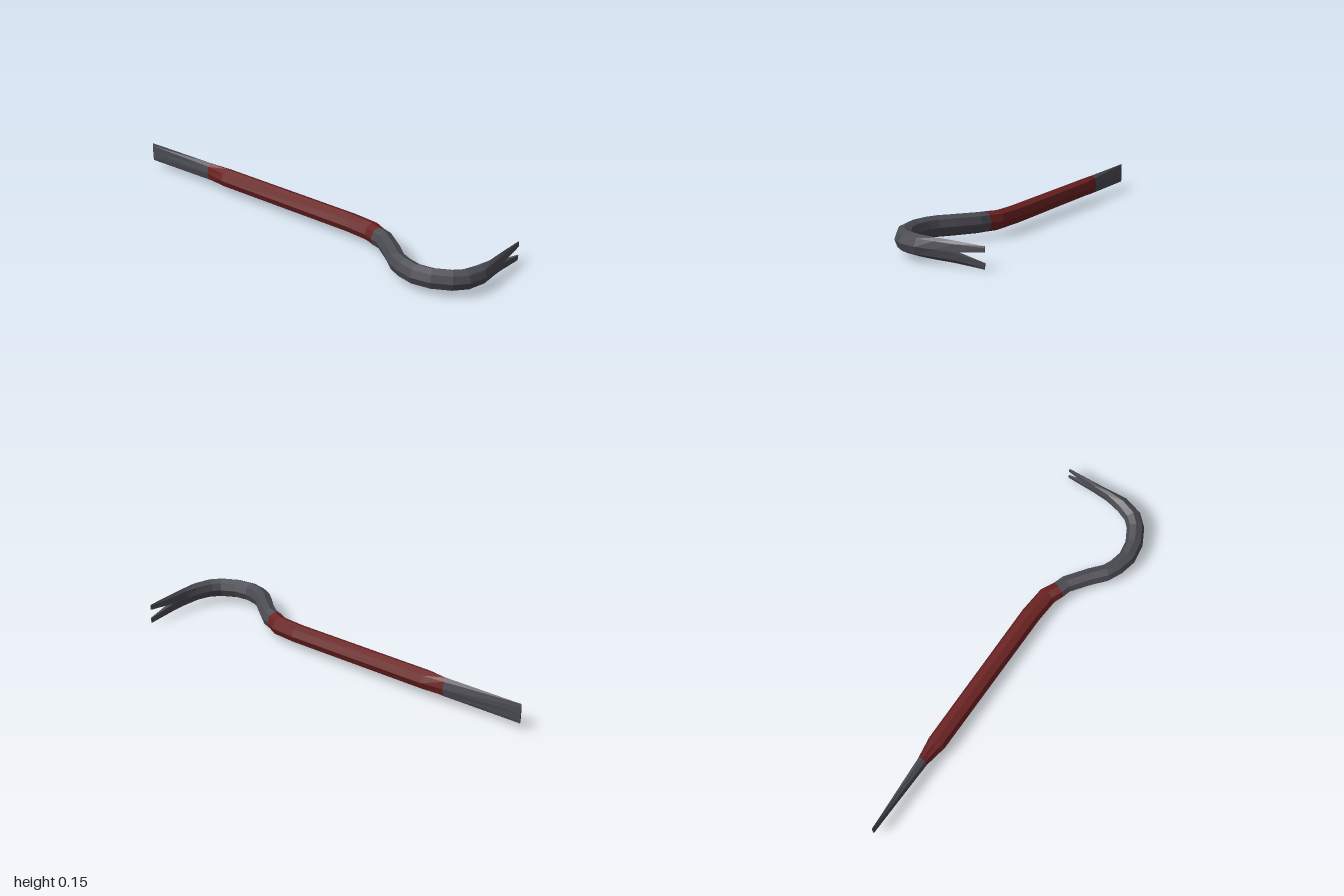
import * as THREE from 'three';

// Stations along the bar: [x, z, centre height, half width, half height]
const chiselEnd = [-0.996, -0.88, 0.092, 0.004, 0.057];
const stations = [
  chiselEnd,
  [-0.648, -0.569, 0.09, 0.031, 0.057],
  [-0.553, -0.478, 0.09, 0.053, 0.056],
  [0.123, 0.142, 0.084, 0.056, 0.055],
  [0.227, 0.254, 0.083, 0.055, 0.056],
  [0.254, 0.32, 0.085, 0.05, 0.057],
  [0.283, 0.372, 0.087, 0.05, 0.058],
  [0.31, 0.515, 0.088, 0.05, 0.059],
  [0.32, 0.607, 0.088, 0.05, 0.059],
  [0.348, 0.674, 0.088, 0.05, 0.059],
  [0.398, 0.746, 0.087, 0.051, 0.059],
  [0.479, 0.8, 0.087, 0.051, 0.059],
  [0.578, 0.826, 0.086, 0.051, 0.059],
  [0.652, 0.82, 0.085, 0.051, 0.058],
  [0.735, 0.774, 0.083, 0.045, 0.057],
  [0.807, 0.706, 0.078, 0.024, 0.057],
  [0.878, 0.627, 0.073, 0.016, 0.057],
];
const clawTip = [0.994, 0.5];

// Cross-section from octagon corners first..last, square to the path
function ring([x, z, y, w, h], tx, tz, first, last) {
  const points = [];
  for (let k = first; k <= last; k++) {
    const a = (k * Math.PI) / 4;
    const c = Math.cos(a) * w;
    points.push(new THREE.Vector3(x - tz * c, y + Math.sin(a) * h, z + tx * c));
  }
  return points;
}

// Skin closed rings with flat faces, with optional end caps
function loft(rings, capStart, capEnd) {
  const n = rings[0].length;
  const verts = [];
  for (let i = 0; i < rings.length - 1; i++) {
    for (let j = 0; j < n; j++) {
      const k = (j + 1) % n;
      const a = rings[i][j], b = rings[i + 1][j], c = rings[i + 1][k], d = rings[i][k];
      verts.push(a, b, c, a, c, d);
    }
  }
  const s = rings[0], e = rings[rings.length - 1];
  for (let j = 1; j < n - 1; j++) {
    if (capStart) verts.push(s[0], s[j], s[j + 1]);
    if (capEnd) verts.push(e[0], e[j + 1], e[j]);
  }
  const geometry = new THREE.BufferGeometry().setFromPoints(verts);
  geometry.computeVertexNormals();
  return geometry;
}

export function createModel() {
  const steel = new THREE.MeshStandardMaterial({ color: 0x4a4a52 });
  steel.name = 'dark steel';
  const paint = new THREE.MeshStandardMaterial({ color: 0x6a2020 });
  paint.name = 'red paint';

  const group = new THREE.Group();
  group.name = 'crowbar';
  const add = (name, geometry, material) => {
    const mesh = new THREE.Mesh(geometry, material);
    mesh.name = name;
    group.add(mesh);
  };

  // Octagonal rings with averaged path directions
  const path = [...stations, clawTip];
  const rings = stations.map((s, i) => {
    const a = path[Math.max(i - 1, 0)], b = path[i + 1];
    const t = new THREE.Vector2(b[0] - a[0], b[1] - a[1]).normalize();
    return ring(s, t.x, t.y, 0, 7);
  });
  add('chiselEnd', loft(rings.slice(0, 2), true, false), steel);
  add('paintedShaft', loft(rings.slice(1, 6), false, false), paint);
  add('hook', loft(rings.slice(5), false, false), steel);

  // Claw prongs: upper and lower half sections parting around the notch
  const root = stations[stations.length - 1];
  const dir = new THREE.Vector2(clawTip[0] - root[0], clawTip[1] - root[1]).normalize();
  const prong = (name, first, innerY, height) => add(name, loft([
    ring(root, dir.x, dir.y, first, first + 4),
    ring([...clawTip, innerY, 0.004, height], dir.x, dir.y, first, first + 4),
  ], false, true), steel);
  prong('upperProng', 0, 0.088, 0.031);
  prong('lowerProng', 4, 0.033, 0.033);

  return group;
}
